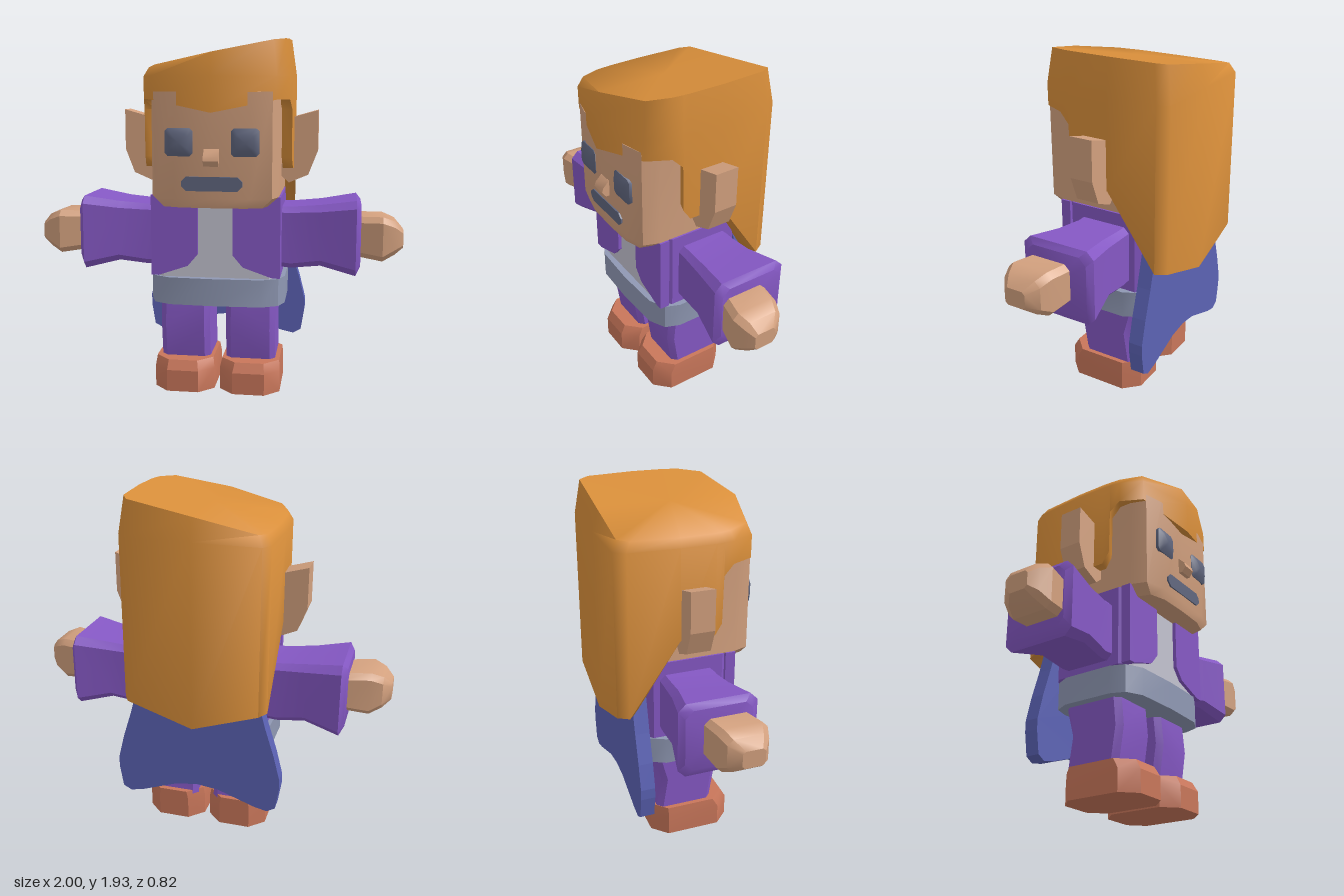
import * as THREE from 'three';
import { toCreasedNormals } from 'three/addons/utils/BufferGeometryUtils.js';

function material(name, color) {
  const m = new THREE.MeshStandardMaterial({ color });
  m.name = name;
  return m;
}

// Closed skin through rings of [x, y, z] points; winding is corrected by signed volume
function loft(rings, crease = 0.5) {
  const n = rings[0].length;
  const pts = rings.flat();
  const index = [];
  for (let i = 0; i < rings.length - 1; i++) {
    for (let j = 0; j < n; j++) {
      const a = i * n + j, b = i * n + (j + 1) % n;
      index.push(a, b, b + n, a, b + n, a + n);
    }
  }
  const cap = (ring, base, flip) => {
    const c = pts.length;
    pts.push([0, 1, 2].map(k => ring.reduce((s, p) => s + p[k], 0) / n));
    for (let j = 0; j < n; j++) {
      const a = base + j, b = base + (j + 1) % n;
      index.push(c, flip ? b : a, flip ? a : b);
    }
  };
  cap(rings[0], 0, true);
  cap(rings[rings.length - 1], (rings.length - 1) * n, false);
  const v = pts.map(p => new THREE.Vector3(...p));
  let volume = 0;
  for (let i = 0; i < index.length; i += 3) {
    volume += v[index[i]].dot(v[index[i + 1]].clone().cross(v[index[i + 2]]));
  }
  if (volume < 0) index.reverse();
  const g = new THREE.BufferGeometry();
  g.setAttribute('position', new THREE.Float32BufferAttribute(pts.flat(), 3));
  g.setIndex(index);
  return toCreasedNormals(g, crease);
}

// Chamfered rectangle as 2D points
function chamfer(a0, a1, b0, b1, c) {
  return [[a1, b0 + c], [a1, b1 - c], [a1 - c, b1], [a0 + c, b1],
    [a0, b1 - c], [a0, b0 + c], [a0 + c, b0], [a1 - c, b0]];
}

// Horizontal ring (x, z ranges) and sideways ring (y, z ranges)
const flatRing = (y, x0, x1, z0, z1, c) => chamfer(x0, x1, z0, z1, c).map(([x, z]) => [x, y, z]);
const armRing = (x, y0, y1, z0, z1, c) => chamfer(y0, y1, z0, z1, c).map(([y, z]) => [x, y, z]);

function plate(points, depth, z) {
  const shape = new THREE.Shape(points.map(p => new THREE.Vector2(...p)));
  const g = new THREE.ExtrudeGeometry(shape, { depth, bevelEnabled: false });
  return g.translate(0, 0, z);
}

// Complete a right-half outline running from the centre line to the centre line
const mirrored = half => half.concat(half.slice(1, -1).reverse().map(([x, ...r]) => [-x, ...r]));

export function createModel() {
  const model = new THREE.Group();
  const skin = material('skin', 0xd2a07e);
  const hairColor = material('hair orange', 0xd88e3a);
  const purple = material('jacket purple', 0x8558c4);
  const shirtColor = material('shirt grey', 0xc3c2d0);
  const steel = material('belt grey', 0x8f98b3);
  const blue = material('cape blue', 0x5b62b4);
  const leather = material('boot brown', 0xc8765a);
  const dark = material('eye slate', 0x60667e);

  const add = (name, geometry, mat) => {
    const mesh = new THREE.Mesh(geometry, mat);
    mesh.name = name;
    model.add(mesh);
    return mesh;
  };

  // Head with a gently bowed face and a bevelled chin
  const headPlan = mirrored([[0, 0.37], [0.2, 0.365], [0.31, 0.335], [0.34, 0.25], [0.34, -0.25], [0.28, -0.33], [0, -0.33]]);
  const headRing = (y, sx, sz) => headPlan.map(([x, z]) => [x * sx, y, z * sz]);
  add('head', loft([headRing(1.05, 0.84, 0.97), headRing(1.1, 1, 1), headRing(1.65, 1, 1)]), skin);

  // Hair: plan points with the height of the lower edge at each
  const hairPlan = mirrored([[0, 0.41, 1.545], [0.33, 0.33, 1.61], [0.39, 0.21, 1.61], [0.4, 0.155, 1.555],
    [0.4, 0.15, 1.3], [0.405, 0.11, 1.24], [0.41, -0.08, 1.24], [0.395, -0.35, 0.83], [0.36, -0.41, 0.83], [0, -0.41, 0.71]]);
  const hairRing = (s, height) => hairPlan.map(([x, z, low]) => [x * s, height(x * s, low), z * s]);
  add('hair', loft([
    hairRing(0.86, () => 1.66),
    hairRing(0.86, (x, low) => low),
    hairRing(1, (x, low) => low),
    hairRing(1, () => 1.73),
    hairRing(0.93, x => 1.85 + 0.2 * x),
  ], 1.3), hairColor);

  // Nose and mouth
  add('nose', loft([-0.04, 0.04].map(x => [[x, 1.27, 0.35], [x, 1.27, 0.39], [x, 1.3, 0.413],
    [x, 1.325, 0.405], [x, 1.36, 0.37], [x, 1.36, 0.35]])), skin);
  add('mouth', plate(chamfer(-0.16, 0.16, 1.14, 1.215, 0.025), 0.009, 0.366), dark);

  // Shirt, jacket body and belt
  add('shirt', loft([flatRing(0.6, -0.32, 0.32, -0.2, 0.235, 0.03), flatRing(1.07, -0.32, 0.32, -0.2, 0.235, 0.03)]), shirtColor);
  add('jacketBody', loft([flatRing(0.66, -0.35, 0.35, -0.235, 0.21, 0.03), flatRing(1.1, -0.35, 0.35, -0.235, 0.21, 0.03)]), purple);
  const beltPlan = mirrored([[0, 0.275], [0.25, 0.265], [0.34, 0.22], [0.37, 0.14], [0.37, -0.14], [0.33, -0.22], [0.25, -0.24], [0, -0.24]]);
  add('belt', loft([0.5, 0.65].map(y => beltPlan.map(([x, z]) => [x, y, z]))), steel);

  // Cape
  add('cape', plate(mirrored([[0, 1.02], [0.3, 1.02], [0.38, 0.72], [0.43, 0.56], [0.465, 0.42], [0.465, 0.36],
    [0.445, 0.235], [0.4, 0.21], [0.33, 0.225], [0.12, 0.3], [0, 0.315]]), 0.08, -0.32), blue);

  for (const s of [1, -1]) {
    const side = s > 0 ? 'left' : 'right';
    const flip = rings => rings.map(r => r.map(([x, y, z]) => [x * s, y, z]));

    // Eye: softly domed block
    add(side + 'Eye', loft([
      [0.335, 0.1, 0.245, 1.32, 1.465, 0.015],
      [0.37, 0.1, 0.245, 1.32, 1.465, 0.015],
      [0.388, 0.125, 0.22, 1.35, 1.435, 0.012],
    ].map(([z, ...r]) => chamfer(...r).map(([x, y]) => [x * s, y, z])), 0.9), dark);

    // Pointed ear
    add(side + 'Ear', plate([[0.33, 1.495], [0.41, 1.515], [0.535, 1.55], [0.535, 1.33], [0.485, 1.2], [0.38, 1.155], [0.33, 1.2]]
      .map(([x, y]) => [x * s, y]), 0.13, -0.075), skin);

    // Jacket front with a cut-away lower corner
    add(side + 'JacketFront', plate([[0.095, 1.1], [0.095, 0.78], [0.15, 0.715], [0.31, 0.66], [0.35, 0.66], [0.35, 1.1]]
      .map(([x, y]) => [x * s, y]), 0.055, 0.2), purple);

    // Flared sleeve
    add(side + 'Sleeve', loft(flip([
      armRing(0.3, 0.7, 1.03, -0.17, 0.14, 0.03),
      armRing(0.4, 0.69, 1.03, -0.17, 0.14, 0.03),
      armRing(0.56, 0.71, 1.045, -0.18, 0.16, 0.035),
      armRing(0.75, 0.665, 1.075, -0.22, 0.197, 0.04),
      armRing(0.775, 0.71, 1.045, -0.19, 0.165, 0.04),
    ]), 0.6), purple);

    // Mitten hand
    add(side + 'Hand', loft(flip([
      armRing(0.74, 0.77, 0.985, -0.1, 0.15, 0.03),
      armRing(0.89, 0.75, 0.99, -0.075, 0.187, 0.03),
      armRing(0.955, 0.785, 0.965, -0.05, 0.165, 0.03),
      armRing(1, 0.82, 0.915, 0.01, 0.13, 0.015),
    ])), skin);

    // Trouser leg, slightly bent at the knee
    add(side + 'Leg', loft(flip([
      flatRing(0.15, 0.045, 0.32, -0.175, 0.145, 0.03),
      flatRing(0.35, 0.045, 0.32, -0.145, 0.175, 0.03),
      flatRing(0.52, 0.045, 0.32, -0.19, 0.16, 0.03),
    ])), purple);

    // Boot
    add(side + 'Boot', loft(flip([
      flatRing(0, 0.015, 0.35, -0.2, 0.26, 0.08),
      flatRing(0.12, 0.015, 0.35, -0.2, 0.26, 0.08),
      flatRing(0.172, 0.025, 0.345, -0.2, 0.23, 0.08),
    ])), leather);
  }
  return model;
}
